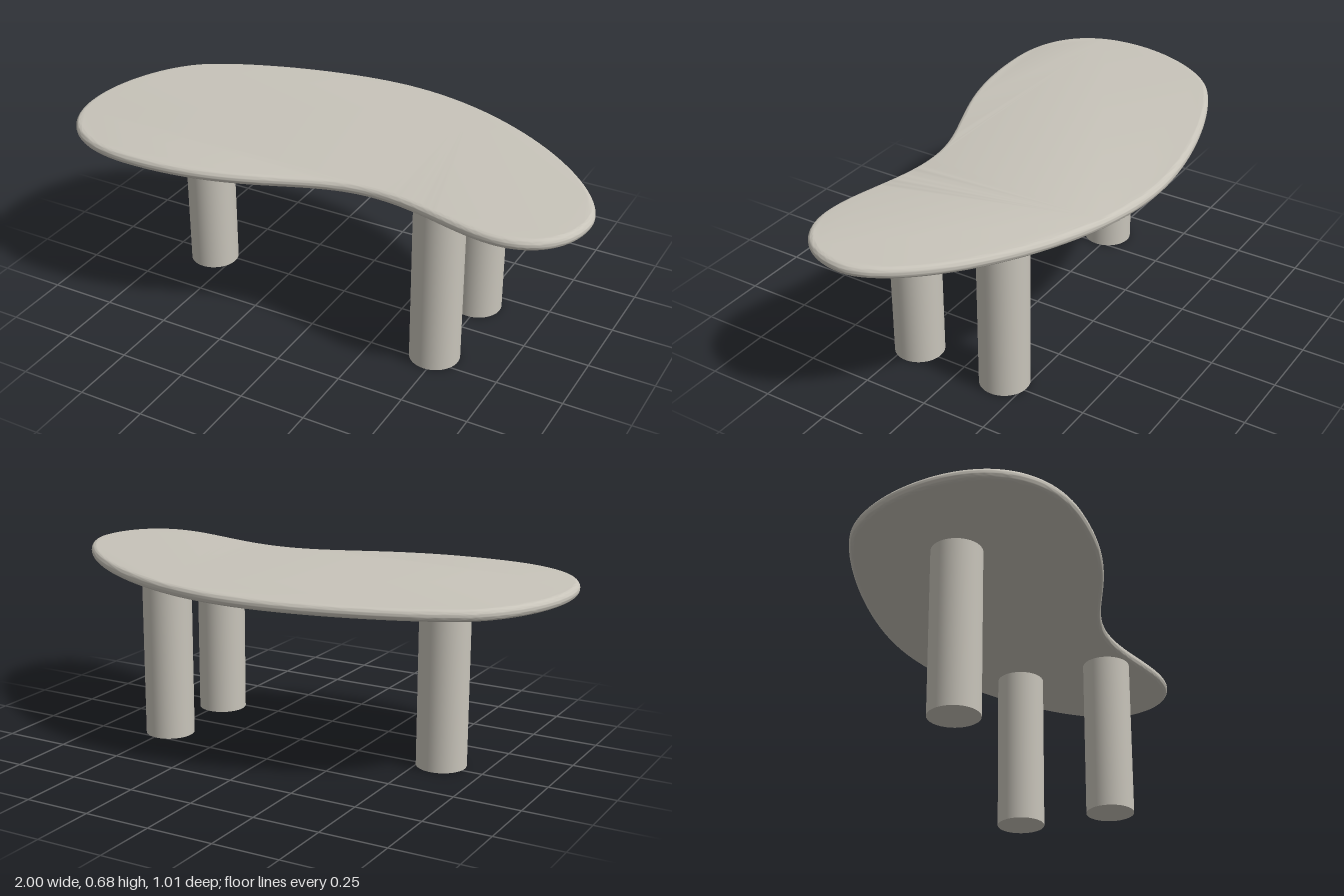
import * as THREE from 'three';
import { toCreasedNormals } from 'three/addons/utils/BufferGeometryUtils.js';

const TOP_Y = 0.675, THICKNESS = 0.042, ROUND = 0.02;

// Kidney outline in plan: x across, shape y runs towards the front (+z)
function outline() {
  const s = new THREE.Shape();
  s.moveTo(0, -0.51);
  s.bezierCurveTo(0.5, -0.51, 1, -0.1, 1, 0.12);
  s.bezierCurveTo(1, 0.27, 0.9, 0.375, 0.75, 0.375);
  s.bezierCurveTo(0.6, 0.375, 0.45, 0.293, 0.27, 0.293);
  s.bezierCurveTo(0, 0.293, -0.15, 0.5, -0.61, 0.5);
  s.bezierCurveTo(-0.87, 0.5, -1, 0.36, -1, 0.15);
  s.bezierCurveTo(-1, 0, -0.93, -0.175, -0.82, -0.27);
  s.bezierCurveTo(-0.7, -0.373, -0.3, -0.51, 0, -0.51);
  return s;
}

export function createModel() {
  const group = new THREE.Group();
  group.name = 'coffeeTable';
  const stone = new THREE.MeshStandardMaterial({ color: 0xc8c4ba });
  stone.name = 'warm grey';

  // Table top with a fully rounded rim
  const slab = new THREE.ExtrudeGeometry(outline(), {
    depth: THICKNESS - 2 * ROUND,
    bevelThickness: ROUND,
    bevelSize: ROUND,
    bevelOffset: -ROUND,
    bevelSegments: 8,
    curveSegments: 28,
  });
  slab.rotateX(Math.PI / 2);
  slab.translate(0, TOP_Y - ROUND, 0);
  const top = new THREE.Mesh(toCreasedNormals(slab, 0.6), stone);
  top.name = 'tableTop';
  group.add(top);

  // Three round legs: one under the wide end, two under the narrow end
  const height = TOP_Y - THICKNESS + 0.004;
  const legGeometry = new THREE.CylinderGeometry(0.093, 0.093, height, 48);
  const legs = { rightLeg: [-0.58, 0.02], frontLeftLeg: [0.487, 0.207], backLeftLeg: [0.487, -0.167] };
  for (const [name, [x, z]] of Object.entries(legs)) {
    const leg = new THREE.Mesh(legGeometry, stone);
    leg.name = name;
    leg.position.set(x, height / 2, z);
    group.add(leg);
  }
  return group;
}
